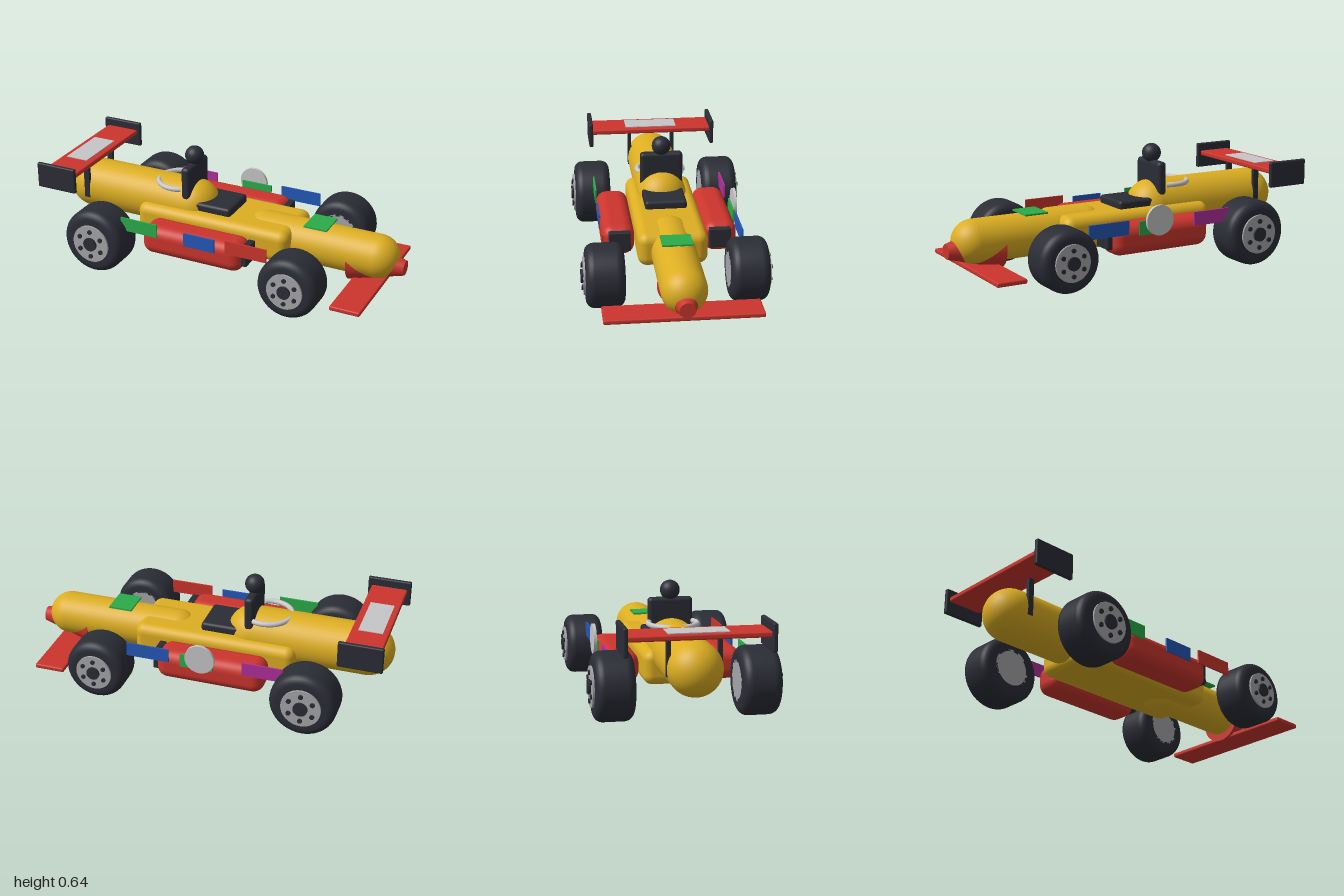
import * as THREE from 'three';
import { RoundedBoxGeometry } from 'three/addons/geometries/RoundedBoxGeometry.js';

const mat = (name, color) => {
  const m = new THREE.MeshStandardMaterial({ color });
  m.name = name;
  return m;
};

export function createModel() {
  const yellow = mat('yellow', 0xdcae22), red = mat('red', 0xcb352d), black = mat('black', 0x2b2d36);
  const grey = mat('rim grey', 0xa6a6aa), silver = mat('silver', 0xc6c6c8), green = mat('green', 0x2bab4a);
  const blue = mat('blue', 0x2457b8), magenta = mat('magenta', 0xb0309a);
  const car = new THREE.Group();
  car.name = 'racingCar';

  const add = (name, geometry, material, x, y, z, parent = car) => {
    const mesh = new THREE.Mesh(geometry, material);
    mesh.name = name;
    mesh.position.set(x, y, z);
    parent.add(mesh);
    return mesh;
  };
  // Box given by its limits on each axis, optionally with rounded edges
  const box = (name, material, [x0, x1], [y0, y1], [z0, z1], r = 0) => {
    const s = [x1 - x0, y1 - y0, z1 - z0];
    const g = r ? new RoundedBoxGeometry(...s, 5, r) : new THREE.BoxGeometry(...s);
    return add(name, g, material, (x0 + x1) / 2, (y0 + y1) / 2, (z0 + z1) / 2);
  };
  // Capsule lying along x
  const capsule = (name, x0, x1, y, r) =>
    add(name, new THREE.CapsuleGeometry(r, x1 - x0 - 2 * r, 12, 40).rotateZ(Math.PI / 2), yellow, (x0 + x1) / 2, y, 0);

  // Body
  box('mainBody', yellow, [-0.495, 0.4], [0.137, 0.317], [-0.184, 0.184], 0.05);
  capsule('engineCover', -0.995, -0.085, 0.302, 0.138);
  capsule('noseBody', 0.09, 0.965, 0.22, 0.117);
  add('noseCone', new THREE.CylinderGeometry(0.04, 0.12, 0.29, 40).rotateZ(-Math.PI / 2), red, 0.855, 0.183, 0);
  box('hoodPlate', green, [0.455, 0.585], [0.335, 0.344], [-0.079, 0.079]);

  // Cockpit
  box('cockpitPad', black, [-0.2, 0.04], [0.305, 0.36], [-0.114, 0.114], 0.018);
  box('seatBack', black, [-0.252, -0.2], [0.35, 0.55], [-0.118, 0.118], 0.02);
  add('headrest', new THREE.SphereGeometry(0.052, 32, 20), black, -0.225, 0.587, 0);
  const arc = 4.0;
  add('cockpitRing', new THREE.TorusGeometry(0.127, 0.014, 12, 48, arc)
    .rotateZ(Math.PI - arc / 2).rotateX(Math.PI / 2), silver, -0.305, 0.423, 0);

  // Wings
  box('frontWing', red, [0.735, 0.9], [0.075, 0.1], [-0.4, 0.4], 0.008);
  box('rearWing', red, [-0.98, -0.785], [0.467, 0.495], [-0.355, 0.355], 0.008);
  box('rearWingPanel', silver, [-0.95, -0.822], [0.495, 0.499], [-0.15, 0.15]);

  for (const s of [1, -1]) {
    const side = s > 0 ? 'left' : 'right';
    const zz = (a, b) => (s > 0 ? [a, b] : [-b, -a]);
    box(side + 'EndPlate', black, [-1, -0.765], [0.397, 0.539], zz(0.347, 0.371), 0.008);
    box(side + 'WingSupport', black, [-0.852, -0.82], [0.265, 0.47], zz(0.118, 0.138));
    box(side + 'SidePod', red, [-0.375, 0.215], [0.123, 0.288], zz(0.185, 0.362), 0.06);
    box(side + 'AirIntake', black, [0.2, 0.238], [0.163, 0.27], zz(0.21, 0.325), 0.006);
    // Coloured plates along the flank
    const colors = s > 0 ? [green, blue, red] : [magenta, green, blue];
    [[-0.487, -0.268, 0.243, 0.318], [-0.107, 0.072, 0.231, 0.306], [0.135, 0.37, 0.243, 0.318]]
      .forEach(([a, b, c, d], i) => box(side + 'FlankPlate' + (i + 1), colors[i], [a, b], [c, d], zz(0.36, 0.369)));
  }
  add('sideDisc', new THREE.CylinderGeometry(0.081, 0.081, 0.016, 40).rotateX(Math.PI / 2), silver, -0.043, 0.304, -0.381);

  // Wheels: built with the outer face on +z, turned round for the other side
  const addWheel = (name, x, r, rimR, s) => {
    const wheel = new THREE.Group();
    wheel.name = name;
    wheel.position.set(x, r, s * 0.368);
    if (s < 0) wheel.rotation.y = Math.PI;
    car.add(wheel);
    const h = 0.1, c = 0.045, profile = [new THREE.Vector2(rimR * 0.9, -h)];
    for (const [cy, start] of [[-h + c, -Math.PI / 2], [h - c, 0]]) {
      for (let i = 0; i <= 6; i++) {
        const a = start + (i / 6) * Math.PI / 2;
        profile.push(new THREE.Vector2(r - c + c * Math.cos(a), cy + c * Math.sin(a)));
      }
    }
    profile.push(new THREE.Vector2(rimR * 0.9, h));
    const disc = (part, radius, depth, m, px, py, z) =>
      add(part, new THREE.CylinderGeometry(radius, radius, depth, 32).rotateX(Math.PI / 2), m, px, py, z, wheel);
    add('tyre', new THREE.LatheGeometry(profile, 48).rotateX(Math.PI / 2), black, 0, 0, 0, wheel);
    disc('rim', rimR, 0.21, grey, 0, 0, 0.005);
    disc('hub', rimR * 0.36, 0.02, black, 0, 0, 0.112);
    for (let i = 0; i < 6; i++) {
      const a = (i / 6) * Math.PI * 2 + Math.PI / 6;
      disc('bolt', rimR * 0.12, 0.012, black, rimR * 0.68 * Math.cos(a), rimR * 0.68 * Math.sin(a), 0.112);
    }
  };
  for (const s of [1, -1]) {
    const side = s > 0 ? 'left' : 'right';
    addWheel(side + 'RearWheel', -0.615, 0.178, 0.106, s);
    addWheel(side + 'FrontWheel', 0.52, 0.166, 0.098, s);
  }
  return car;
}
